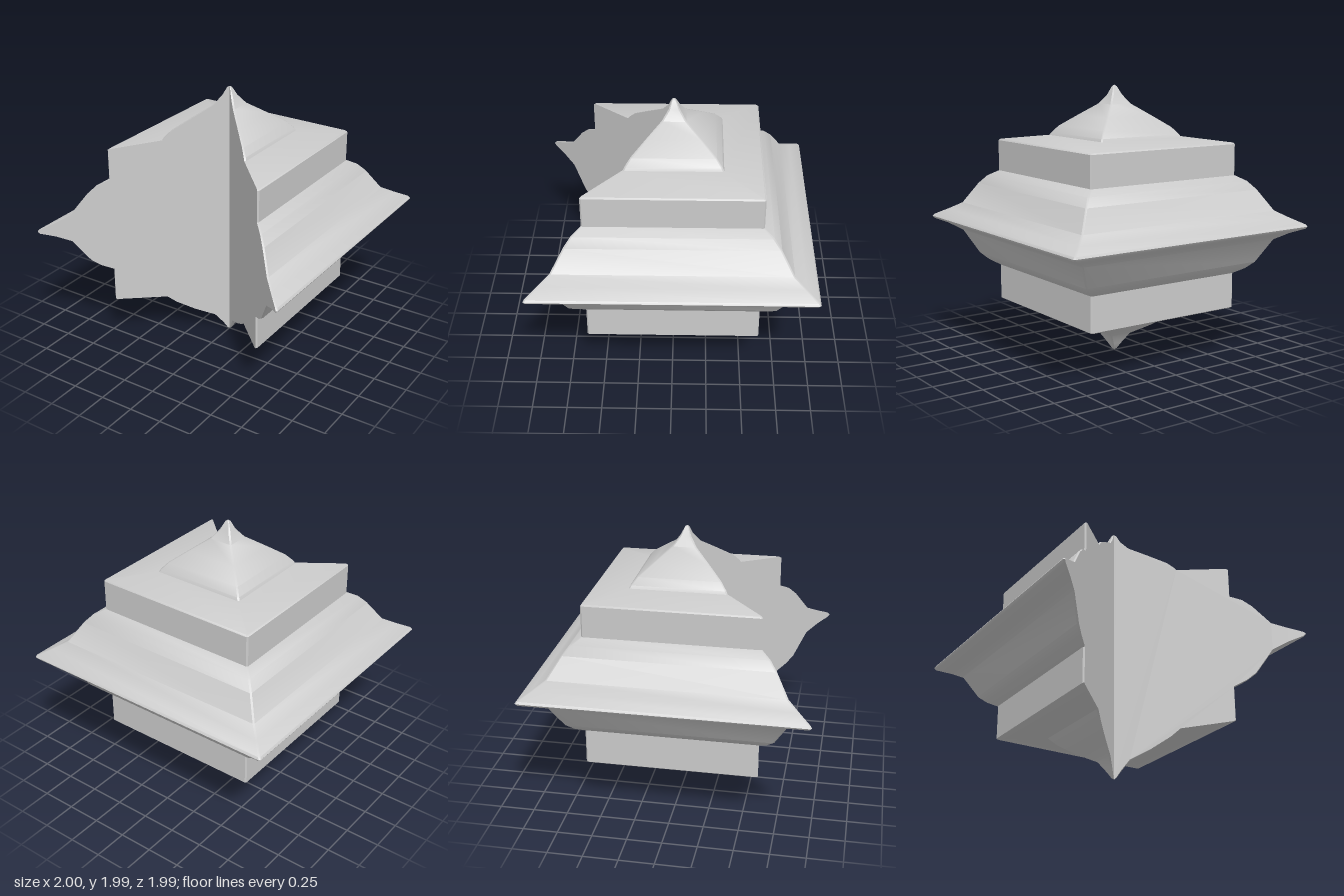
import * as THREE from 'three';
import { toCreasedNormals } from 'three/addons/utils/BufferGeometryUtils.js';

// Half-width and height of the moulded profile, from top tip to bottom tip
const PROFILE = [
  [0, 1.99], [0.015, 1.98], [0.045, 1.92], [0.09, 1.855], [0.2, 1.77], [0.3, 1.69], [0.34, 1.64], [0.35, 1.62],
  [0.615, 1.585], [0.625, 1.575], [0.625, 1.35],
  [0.69, 1.31], [0.74, 1.25], [0.83, 1.1], [0.91, 1.05], [0.99, 1.005],
  [1, 0.99], [0.99, 0.975],
  [0.91, 0.94], [0.83, 0.89], [0.74, 0.72], [0.69, 0.67], [0.625, 0.63],
  [0.625, 0.375], [0.615, 0.368], [0.35, 0.345],
  [0.3, 0.29], [0.2, 0.21], [0.09, 0.14], [0.045, 0.065], [0.015, 0.015], [0, 0.003],
];

// Small bevel, fading out towards the tips
const bevel = r => Math.min(0.01, r * 0.25);

// Three sides of a square ring, open to the front, with bevelled corners
function ring(r) {
  const c = bevel(r);
  return [
    [r - c, r - c], [r, r - 2 * c],
    [r, -r + c], [r - c, -r],
    [-r + c, -r], [-r, -r + c],
    [-r, r - 2 * c], [-r + c, r - c],
  ];
}

// Outer moulded surface swept round the three sides
function shellGeometry() {
  const positions = [], index = [], n = 8;
  PROFILE.forEach(([r, y], i) => {
    ring(r).forEach(([x, z], j) => {
      positions.push(x, y, z);
      if (i < PROFILE.length - 1 && j < n - 1) {
        const a = i * n + j, b = a + n;
        index.push(a, b, b + 1, a, b + 1, a + 1);
      }
    });
  });
  const geometry = new THREE.BufferGeometry();
  geometry.setAttribute('position', new THREE.Float32BufferAttribute(positions, 3));
  geometry.setIndex(index);
  return toCreasedNormals(geometry, 0.6);
}

// Flat diagonal wall closing the cut, side = 1 (left) or -1 (right)
function wallGeometry(side) {
  const points = PROFILE.map(([r, y]) =>
    new THREE.Vector2(side * (r - bevel(r)) * Math.SQRT2, y));
  return new THREE.ShapeGeometry(new THREE.Shape(points)).rotateY(-side * Math.PI / 4);
}

export function createModel() {
  const group = new THREE.Group();
  group.name = 'cutawayFinial';
  const material = new THREE.MeshStandardMaterial({ color: 0xcccccc, side: THREE.DoubleSide });
  const add = (name, geometry) => {
    const mesh = new THREE.Mesh(geometry, material);
    mesh.name = name;
    group.add(mesh);
  };
  add('mouldedShell', shellGeometry());
  add('leftCutWall', wallGeometry(1));
  add('rightCutWall', wallGeometry(-1));
  return group;
}
